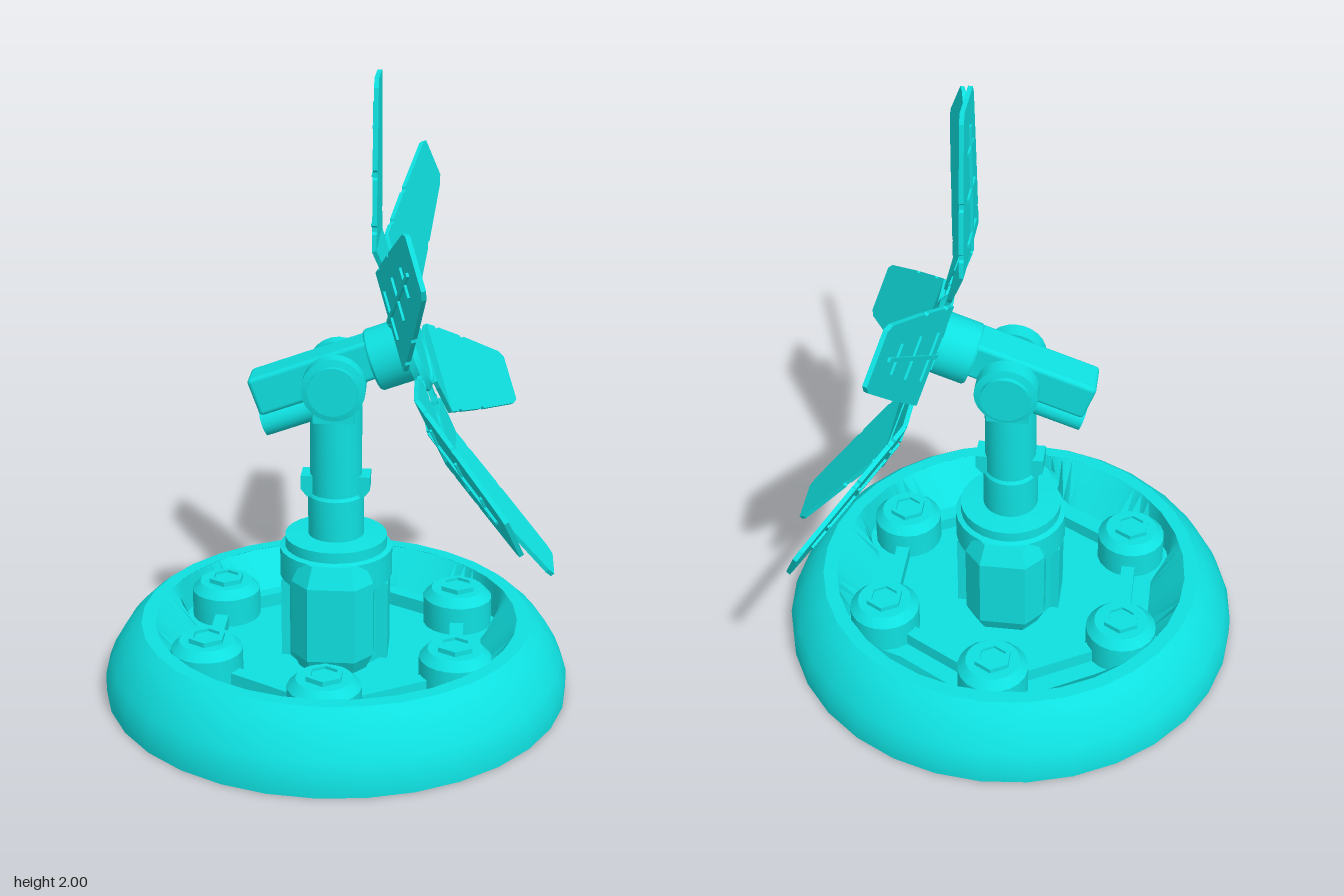
import * as THREE from 'three';
import { toCreasedNormals } from 'three/addons/utils/BufferGeometryUtils.js';
import { RoundedBoxGeometry } from 'three/addons/geometries/RoundedBoxGeometry.js';

const material = new THREE.MeshStandardMaterial({ color: 0x0fe0e0 });
const vec = (list) => list.map(([x, y]) => new THREE.Vector2(x, y));

function add(parent, name, geometry, x = 0, y = 0, z = 0) {
  const mesh = new THREE.Mesh(geometry, material);
  mesh.name = name;
  mesh.position.set(x, y, z);
  parent.add(mesh);
  return mesh;
}

function addGroup(parent, name, x = 0, y = 0, z = 0) {
  const group = new THREE.Group();
  group.name = name;
  group.position.set(x, y, z);
  parent.add(group);
  return group;
}

const lathe = (points, sides = 32) =>
  toCreasedNormals(new THREE.LatheGeometry(vec(points), sides), 0.5);
const box = (w, h, d) => new THREE.BoxGeometry(w, h, d);

// Plate from the right half of its outline, mirrored and centred on z = 0
function plate(half, thickness) {
  const outline = [...half, ...half.map(([x, y]) => [-x, y]).reverse()];
  const geometry = new THREE.ExtrudeGeometry(new THREE.Shape(vec(outline)), {
    depth: thickness, bevelEnabled: false,
  });
  return geometry.translate(0, 0, -thickness / 2);
}

function hexRing(outer, inner, height) {
  const corners = (r) => Array.from({ length: 6 }, (_, i) => {
    const a = Math.PI / 6 + (i * Math.PI) / 3;
    return [r * Math.cos(a), r * Math.sin(a)];
  });
  const shape = new THREE.Shape(vec(corners(outer)));
  shape.holes.push(new THREE.Path(vec(corners(inner))));
  return new THREE.ExtrudeGeometry(shape, { depth: height, bevelEnabled: false })
    .rotateX(-Math.PI / 2);
}

// Thin bowl whose floor edge is a hexagon with a round lobe at each post
function lobedBowl() {
  const edge = 0.5;
  const geometry = new THREE.LatheGeometry(vec([
    [0.59, 0.235], [edge, 0.115], [0, 0.115], [0, 0.105], [edge, 0.105], [0.6, 0.225],
  ]), 96);
  const pos = geometry.attributes.position;
  const sector = Math.PI / 3;
  for (let i = 0; i < pos.count; i++) {
    const x = pos.getX(i), z = pos.getZ(i);
    if (Math.abs(Math.hypot(x, z) - edge) > 0.001) continue;
    const angle = Math.atan2(x, z);
    const off = Math.abs(angle - Math.round(angle / sector) * sector);
    const chord = 0.135 ** 2 - (0.455 * Math.sin(off)) ** 2;
    const lobe = chord > 0 ? 0.455 * Math.cos(off) + Math.sqrt(chord) : 0;
    const scale = Math.max(0.475 / Math.cos(sector / 2 - off), Math.min(lobe, 0.58)) / edge;
    pos.setX(i, x * scale);
    pos.setZ(i, z * scale);
  }
  return toCreasedNormals(geometry, 0.4);
}

function buildBase(root) {
  const base = addGroup(root, 'base');
  // Hollow domed shell with a sunken floor
  add(base, 'baseShell', lathe([
    [0.755, 0], [0.755, 0.06], [0.735, 0.11], [0.7, 0.17], [0.665, 0.21], [0.635, 0.235],
    [0.59, 0.235], [0.6, 0.225], [0.63, 0.222], [0.69, 0.165], [0.745, 0.06], [0.745, 0],
    [0.755, 0],
  ]));
  add(base, 'bowl', lobedBowl());
  // Ring of bolted posts joined by bars
  for (let i = 0; i < 6; i++) {
    const sector = addGroup(base, 'postSector');
    sector.rotation.y = (i * Math.PI) / 3;
    add(sector, 'post', lathe([
      [0, 0.095], [0.115, 0.095], [0.115, 0.21], [0.088, 0.238], [0, 0.238],
    ], 20), 0, 0, 0.455);
    add(sector, 'boltRing', hexRing(0.062, 0.045, 0.018), 0, 0.236, 0.455);
    add(sector, 'boltCore', new THREE.CylinderGeometry(0.045, 0.045, 0.012, 6), 0, 0.238, 0.455);
    const link = addGroup(sector, 'link');
    link.rotation.y = Math.PI / 6;
    add(link, 'linkBar', box(0.4, 0.05, 0.045), 0, 0.135, 0.394);
  }
  add(base, 'underDisc', new THREE.CylinderGeometry(0.21, 0.21, 0.02, 12), 0, 0.103, 0);
}

// Plan outline pulled up into a block, its top sloping inward
function columnLug() {
  const outline = [[0.13, -0.15], [0.13, 0.15], [0.075, 0.215], [-0.075, 0.215],
    [-0.13, 0.15], [-0.13, -0.15], [-0.075, -0.215], [0.075, -0.215]];
  return new THREE.ExtrudeGeometry(new THREE.Shape(vec(outline)), {
    depth: 0.25, bevelThickness: 0.065, bevelSize: 0.03, bevelOffset: -0.03, bevelSegments: 1,
  }).rotateX(-Math.PI / 2);
}

function buildColumn(root) {
  const column = addGroup(root, 'column');
  add(column, 'columnBody', lathe([
    [0, 0.11], [0.16, 0.11], [0.16, 0.38], [0.182, 0.385], [0.182, 0.48],
    [0.165, 0.485], [0.165, 0.52], [0.09, 0.525], [0.09, 0.66],
    [0.083, 0.67], [0.083, 0.96], [0, 0.96],
  ], 28));
  add(column, 'frontBackLugs', columnLug(), 0, 0.165, 0);
  add(column, 'neckTabs', plate([[0.09, 0.66], [0.11, 0.685], [0.11, 0.73]], 0.08));
  for (const s of [-1, 1]) {
    add(column, 'sidePanel', box(0.05, 0.27, 0.14), s * 0.147, 0.245, 0);
    // Fork cheek and pivot cap
    add(column, 'forkCheek', box(0.13, 0.11, 0.04), 0, 0.985, s * 0.085);
    const pivot = add(column, 'pivotCap', lathe([
      [0, 0], [0.1, 0], [0.1, 0.055], [0.078, 0.06], [0.078, 0.075], [0, 0.075],
    ], 24), 0, 1.045, s * 0.068);
    pivot.rotation.x = (s * Math.PI) / 2;
  }
}

function buildBlade(rotor, angle) {
  const blade = addGroup(rotor, 'blade');
  blade.rotation.z = angle;
  // Hinge struts
  for (const s of [-1, 1]) {
    const strut = add(blade, 'hingeStrut', box(0.013, 0.1, 0.014), s * 0.022, 0.18, -0.004);
    strut.rotation.z = -s * 0.25;
  }
  add(blade, 'hingePin', box(0.07, 0.013, 0.016), 0, 0.185, -0.004);
  // Root panel, then the outer panel folded forward
  add(blade, 'rootPanel', plate([
    [0.078, 0.208], [0.095, 0.232], [0.155, 0.36],
  ], 0.014));
  const outer = addGroup(blade, 'outerBlade', 0, 0.36, 0);
  outer.rotation.x = 0.349;
  add(outer, 'outerPanel', plate([
    [0.155, 0], [0.151, 0.05], [0.143, 0.056], [0.142, 0.07], [0.148, 0.076],
    [0.133, 0.21], [0.125, 0.216], [0.124, 0.232], [0.13, 0.238],
    [0.097, 0.475], [0.08, 0.503],
  ], 0.014));
  // Ribs on the back
  add(blade, 'rootSpine', box(0.012, 0.13, 0.01), 0, 0.29, -0.01);
  add(blade, 'rootRib', box(0.1, 0.01, 0.008), 0, 0.3, -0.01);
  add(outer, 'spine', box(0.012, 0.42, 0.01), 0, 0.21, -0.01);
  for (const [y, w] of [[0.06, 0.15], [0.21, 0.13], [0.35, 0.09]]) {
    add(outer, 'rib', box(w, 0.01, 0.008), 0, y, -0.01);
  }
}

function buildHead(root) {
  // Tilted head, its long axis on local x
  const head = addGroup(root, 'head', 0, 1.045, 0);
  head.rotation.z = 0.349;
  add(head, 'boom', new RoundedBoxGeometry(0.43, 0.126, 0.13, 2, 0.015), -0.044, 0.037, 0);
  add(head, 'lowerTube', new THREE.CylinderGeometry(0.042, 0.042, 0.3, 16), -0.118, -0.066, 0)
    .rotation.z = Math.PI / 2;
  add(head, 'pivotBarrel', new THREE.CylinderGeometry(0.085, 0.085, 0.14, 24))
    .rotation.x = Math.PI / 2;
  add(head, 'hub', lathe([
    [0, 0.13], [0.095, 0.13], [0.1, 0.137], [0.1, 0.245], [0.145, 0.25], [0.145, 0.272],
    [0.125, 0.288], [0.116, 0.288], [0.114, 0.28], [0, 0.28],
  ], 28), 0, 0.02, 0).rotation.z = -Math.PI / 2;

  const rotor = addGroup(head, 'rotor', 0.272, 0.02, 0);
  rotor.rotation.y = Math.PI / 2;
  for (let i = 0; i < 6; i++) buildBlade(rotor, (i * Math.PI) / 3);
}

export function createModel() {
  const root = new THREE.Group();
  root.name = 'pedestalFan';
  buildBase(root);
  buildColumn(root);
  buildHead(root);
  return root;
}
